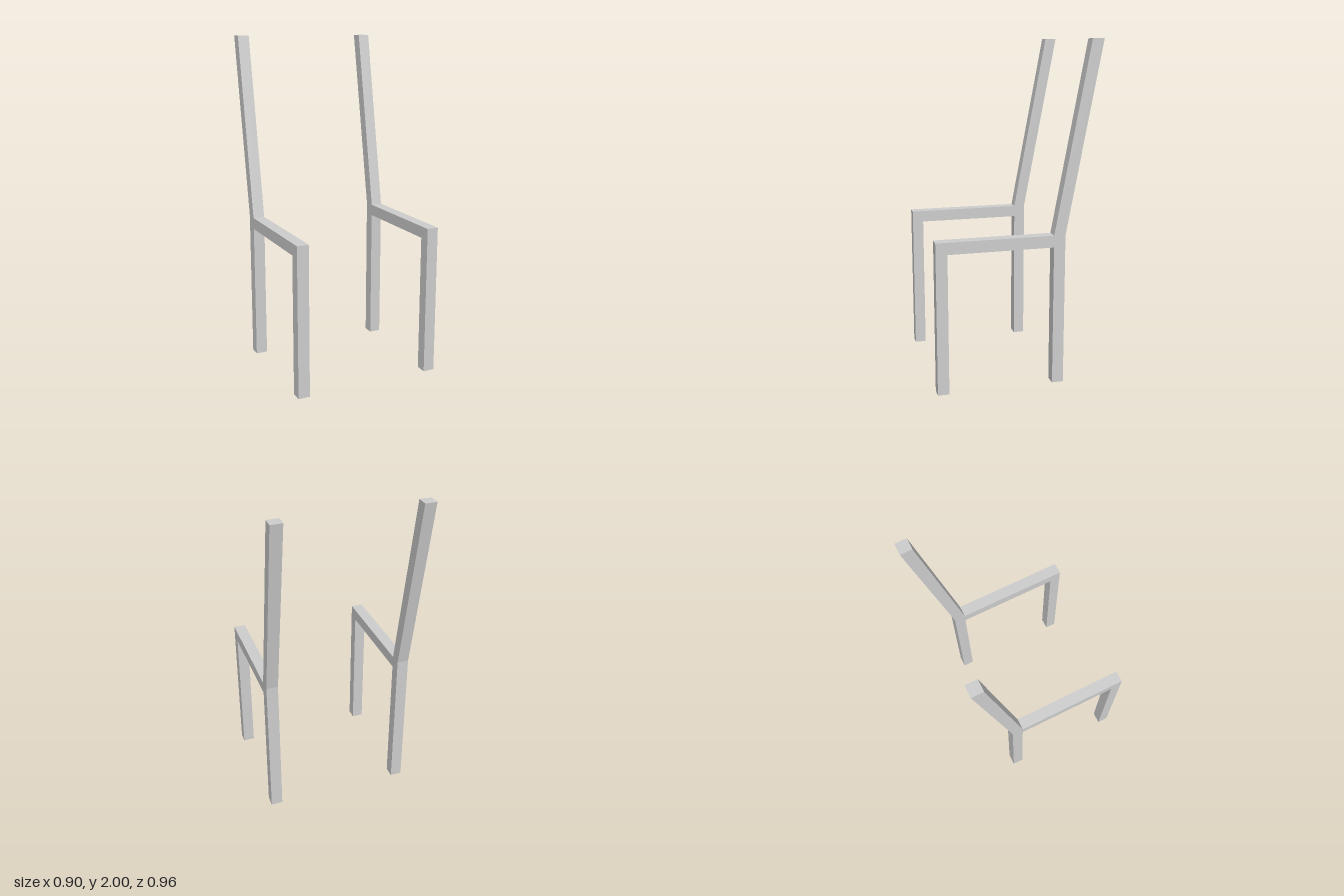
import * as THREE from 'three';

const WIDTH = 0.07;   // bar thickness across x
const OFFSET = 0.415; // centre of each side frame

// Side outline as (z, y): front leg, seat rail, rear leg and raked back post
const OUTLINE = [
  [0.48, 0], [0.48, 0.9], [-0.207, 0.9], [-0.413, 2], [-0.482, 2],
  [-0.275, 0.9], [-0.275, 0], [-0.207, 0], [-0.207, 0.83], [0.413, 0.83], [0.413, 0],
];

export function createModel() {
  const chair = new THREE.Group();
  chair.name = 'chairSideFrames';

  const shape = new THREE.Shape(OUTLINE.map(([z, y]) => new THREE.Vector2(z, y)));
  const geometry = new THREE.ExtrudeGeometry(shape, { depth: WIDTH, bevelEnabled: false });
  geometry.translate(0, 0, -WIDTH / 2);
  geometry.rotateY(-Math.PI / 2); // outline runs along z, thickness along x

  const material = new THREE.MeshStandardMaterial({ color: 0xcccccc, flatShading: true });

  // One frame on each side
  for (const [name, side] of [['leftFrame', 1], ['rightFrame', -1]]) {
    const frame = new THREE.Mesh(geometry, material);
    frame.name = name;
    frame.position.x = side * OFFSET;
    chair.add(frame);
  }
  return chair;
}
